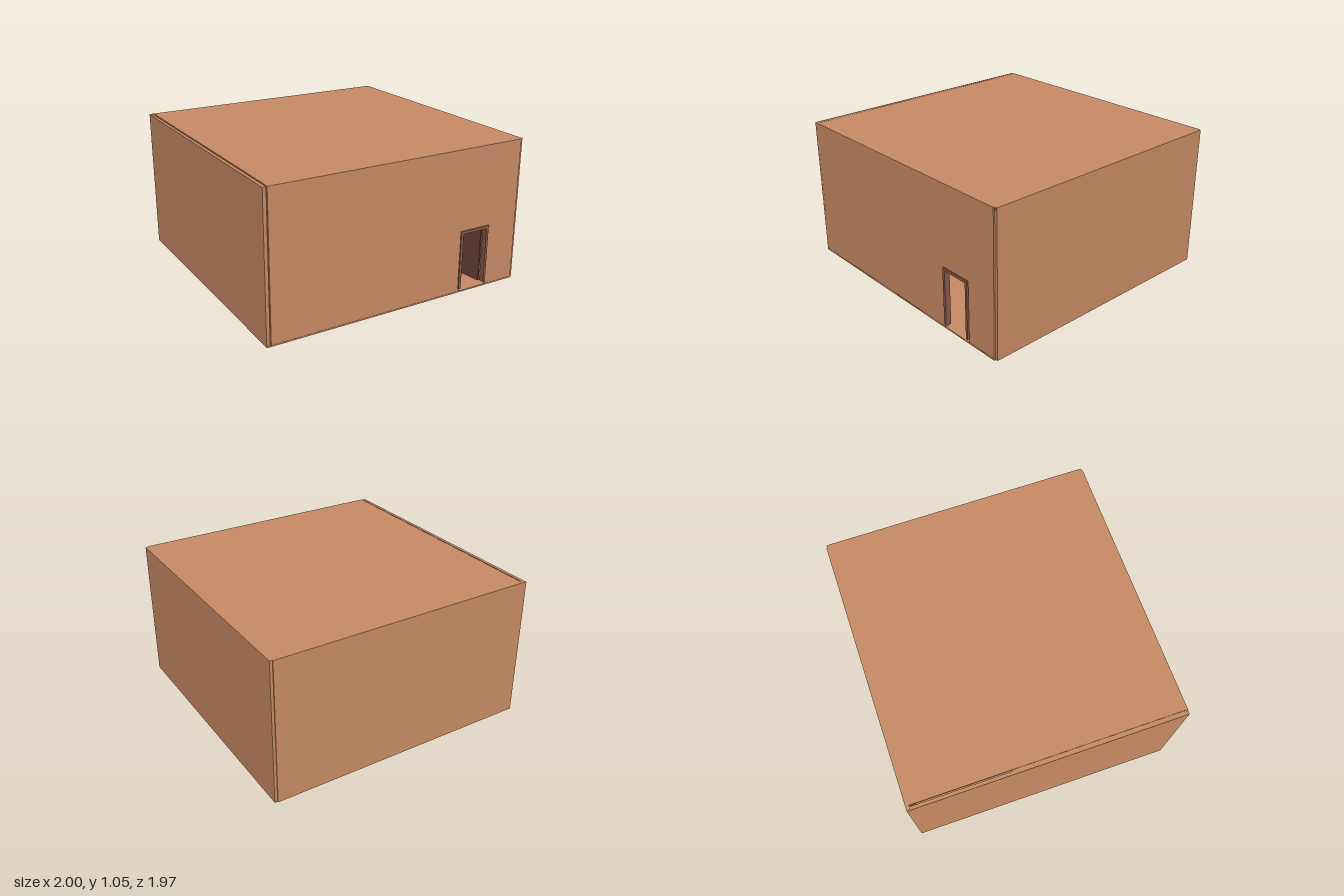
import * as THREE from 'three';

const mat = (color) => new THREE.MeshStandardMaterial({ color, side: THREE.DoubleSide });

export function createModel() {
  const model = new THREE.Group();
  const clay = mat(0xc98b65), wood = mat(0x8a5a48), darkWood = mat(0x6b4038);
  const maroon = mat(0x6a3a38), black = mat(0x1c2422), pink = mat(0xb07060);

  // Box given by its minimum and maximum corners
  const box = (name, x0, x1, y0, y1, z0, z1, material, parent = model) => {
    const mesh = new THREE.Mesh(new THREE.BoxGeometry(x1 - x0, y1 - y0, z1 - z0), material);
    mesh.position.set((x0 + x1) / 2, (y0 + y1) / 2, (z0 + z1) / 2);
    mesh.name = name;
    parent.add(mesh);
    return mesh;
  };

  // Shell: floor, ceiling and solid walls
  box('floor', -0.995, 0.985, 0, 0.01, -0.98, 0.98, clay);
  box('ceiling', -0.967, 0.99, 1.03, 1.05, -0.98, 0.972, clay);
  box('rightSideWall', -1, -0.976, 0, 1.048, -0.985, 0.975, clay);
  box('leftSideWall', 0.975, 1, 0, 1.05, -0.978, 0.967, clay);
  box('backWall', -0.99, 0.98, 0, 1.05, -0.985, -0.96, clay);

  // Narrow joint beside the ceiling, filled along its front part
  box('jointFiller', -0.976, -0.967, 1.02, 1.042, -0.26, 0.965, clay);
  box('frontJointFiller', -0.976, -0.97, 0.01, 1.04, 0.955, 0.968, clay);

  // Front wall with the doorway cut out
  const wall = new THREE.Shape([
    [-0.97, 0.01], [0.5, 0.01], [0.5, 0.455], [0.74, 0.455],
    [0.74, 0.01], [0.98, 0.01], [0.98, 1.05], [-0.97, 1.05],
  ].map(([x, y]) => new THREE.Vector2(x, y)));
  const frontWall = new THREE.Mesh(
    new THREE.ExtrudeGeometry(wall, { depth: 0.023, bevelEnabled: false }), clay);
  frontWall.position.z = 0.955;
  frontWall.name = 'frontWall';
  model.add(frontWall);

  // Door frame standing slightly proud of the wall
  const frame = new THREE.Group();
  frame.name = 'doorFrame';
  model.add(frame);
  box('rightJamb', 0.492, 0.512, 0.03, 0.44, 0.945, 0.986, wood, frame);
  box('leftJamb', 0.715, 0.733, 0.03, 0.44, 0.945, 0.986, wood, frame);
  box('lintel', 0.492, 0.738, 0.44, 0.462, 0.945, 0.986, wood, frame);

  // Door leaf swung into the room, with a knob
  const door = new THREE.Group();
  door.name = 'openDoor';
  door.position.set(0.705, 0, 0.945);
  door.rotation.y = 0.13;
  model.add(door);
  box('doorLeaf', -0.005, 0.008, 0.03, 0.437, -0.2, 0, darkWood, door);
  const knob = new THREE.Mesh(new THREE.SphereGeometry(0.008, 12, 8), black);
  knob.position.set(-0.013, 0.21, -0.18);
  knob.name = 'doorKnob';
  door.add(knob);

  // Desk
  const desk = new THREE.Group();
  desk.name = 'desk';
  model.add(desk);
  box('deskTop', 0.5, 0.93, 0.16, 0.172, -0.15, 0.12, wood, desk);
  for (const x of [0.505, 0.91])
    for (const z of [-0.14, 0.095])
      box('deskLeg', x, x + 0.015, 0.01, 0.16, z, z + 0.015, wood, desk);

  // Monitor with a slanted screen edge on the desk
  const screenShape = new THREE.Shape([
    new THREE.Vector2(0.61, 0.18), new THREE.Vector2(0.77, 0.18),
    new THREE.Vector2(0.77, 0.285), new THREE.Vector2(0.64, 0.285),
  ]);
  const screen = new THREE.Mesh(
    new THREE.ExtrudeGeometry(screenShape, { depth: 0.015, bevelEnabled: false }), black);
  screen.position.z = -0.02;
  screen.name = 'monitor';
  model.add(screen);
  box('monitorStand', 0.66, 0.72, 0.172, 0.18, -0.05, 0.02, black);

  // Chair facing sideways at the desk
  const chair = new THREE.Group();
  chair.name = 'chair';
  model.add(chair);
  box('chairBack', 0.545, 0.595, 0.105, 0.27, 0.15, 0.26, maroon, chair);
  box('chairSeat', 0.545, 0.665, 0.093, 0.105, 0.15, 0.26, maroon, chair);
  for (const x of [0.547, 0.585])
    for (const z of [0.155, 0.245])
      box('chairLeg', x, x + 0.009, 0.01, 0.093, z, z + 0.009, darkWood, chair);

  // Stepped pedestal beside the chair
  [[0.62, 0.01, 0.06], [0.645, 0.06, 0.09], [0.655, 0.09, 0.125]].forEach(([x, y0, y1]) =>
    box('pedestalStep', x, 0.74, y0, y1, 0.0, 0.09, pink));

  return model;
}
